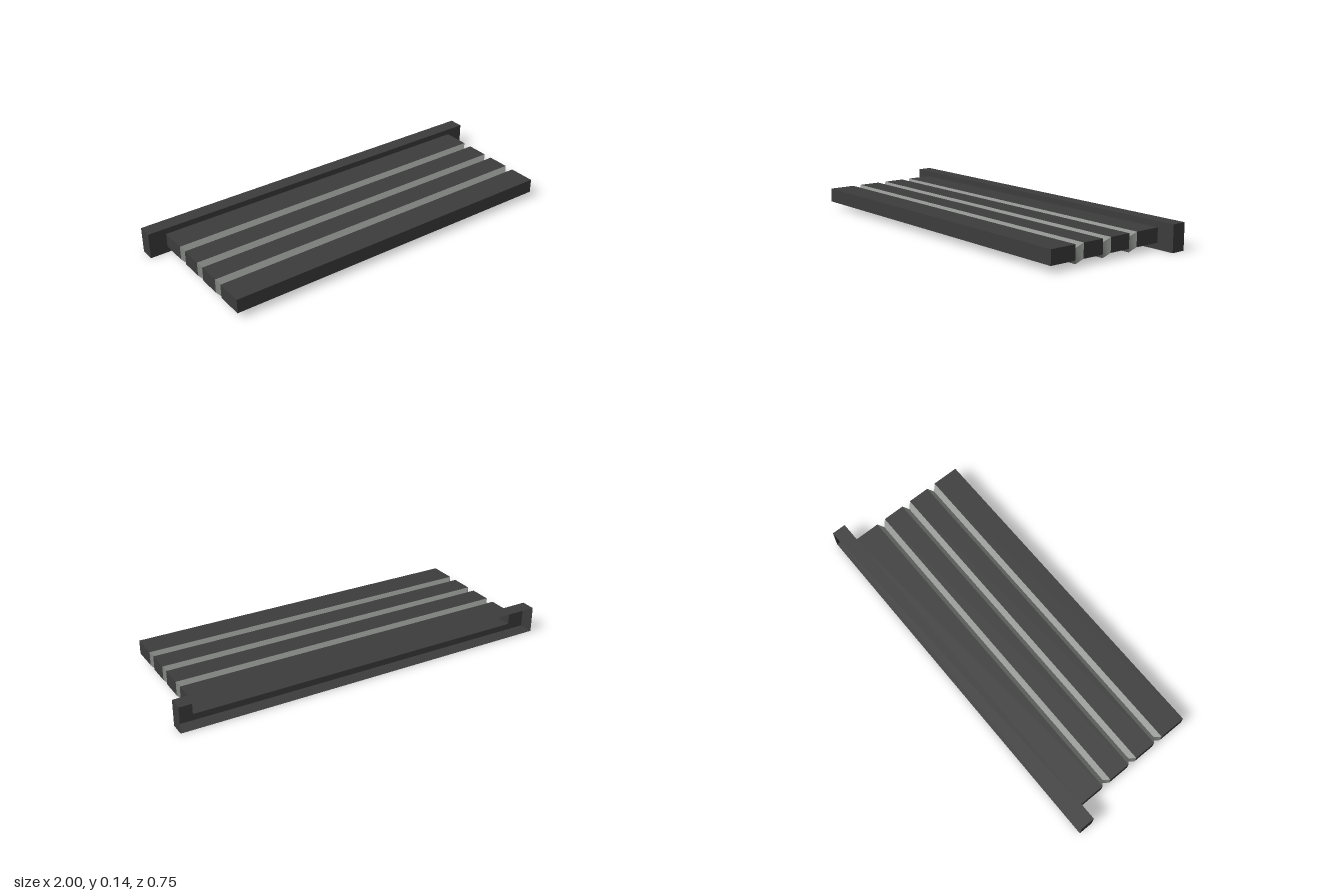
import * as THREE from 'three';

const dark = new THREE.MeshStandardMaterial({ color: 0x3c3c3c, side: THREE.DoubleSide });
dark.name = 'dark panel';
const grey = new THREE.MeshStandardMaterial({ color: 0x888b88, side: THREE.DoubleSide });
grey.name = 'groove grey';

// Rectangular cross-section at depth z: half width, bottom and top
const ring = (z, w, lo, hi) => [[w, lo, z], [w, hi, z], [-w, hi, z], [-w, lo, z]];
const board = (z) => ring(z, 0.907, 0.032, 0.105);
const valley = (z) => ring(z, 0.882, 0.007, 0.08);

// Skins the four sides between successive cross-sections, listed back to front
function loft(name, rings, material, smoothEnds = false) {
  const group = new THREE.Group();
  group.name = name;
  for (let side = 0; side < 4; side++) {
    const points = [], index = [];
    rings.forEach((r, k) => {
      points.push(...r[side], ...r[(side + 1) % 4]);
      if (k) {
        const a = 2 * k - 2;
        index.push(a, a + 1, a + 3, a, a + 3, a + 2);
      }
    });
    let geometry = new THREE.BufferGeometry();
    geometry.setAttribute('position', new THREE.Float32BufferAttribute(points, 3));
    geometry.setIndex(index);
    if (!(smoothEnds && side % 2 === 0)) geometry = geometry.toNonIndexed();
    geometry.computeVertexNormals();
    const mesh = new THREE.Mesh(geometry, material);
    mesh.name = name + ['LeftSide', 'Top', 'RightSide', 'Bottom'][side];
    group.add(mesh);
  }
  return group;
}

export function createModel() {
  const model = new THREE.Group();
  model.name = 'groovedPanel';
  const back = -0.297, front = 0.373, half = 0.025;

  // Back rail: an open-backed channel whose front wall meets the panel
  model.add(loft('backRail', [
    ring(-0.373, 1, 0, 0.135), ring(back, 1, 0, 0.135), board(back),
  ], dark));

  // Panel boards separated by V-shaped folds
  let start = back;
  for (const z of [-0.131, 0.037, 0.205]) {
    model.add(loft('board', [board(start), board(z - half)], dark));
    model.add(loft('groove', [board(z - half), valley(z), board(z + half)], grey, true));
    start = z + half;
  }
  model.add(loft('frontBoard', [board(start), board(front)], dark));

  // Closed front edge
  const edge = new THREE.Mesh(new THREE.PlaneGeometry(1.814, 0.073), dark);
  edge.name = 'frontEdge';
  edge.position.set(0, 0.0685, front);
  model.add(edge);

  return model;
}
